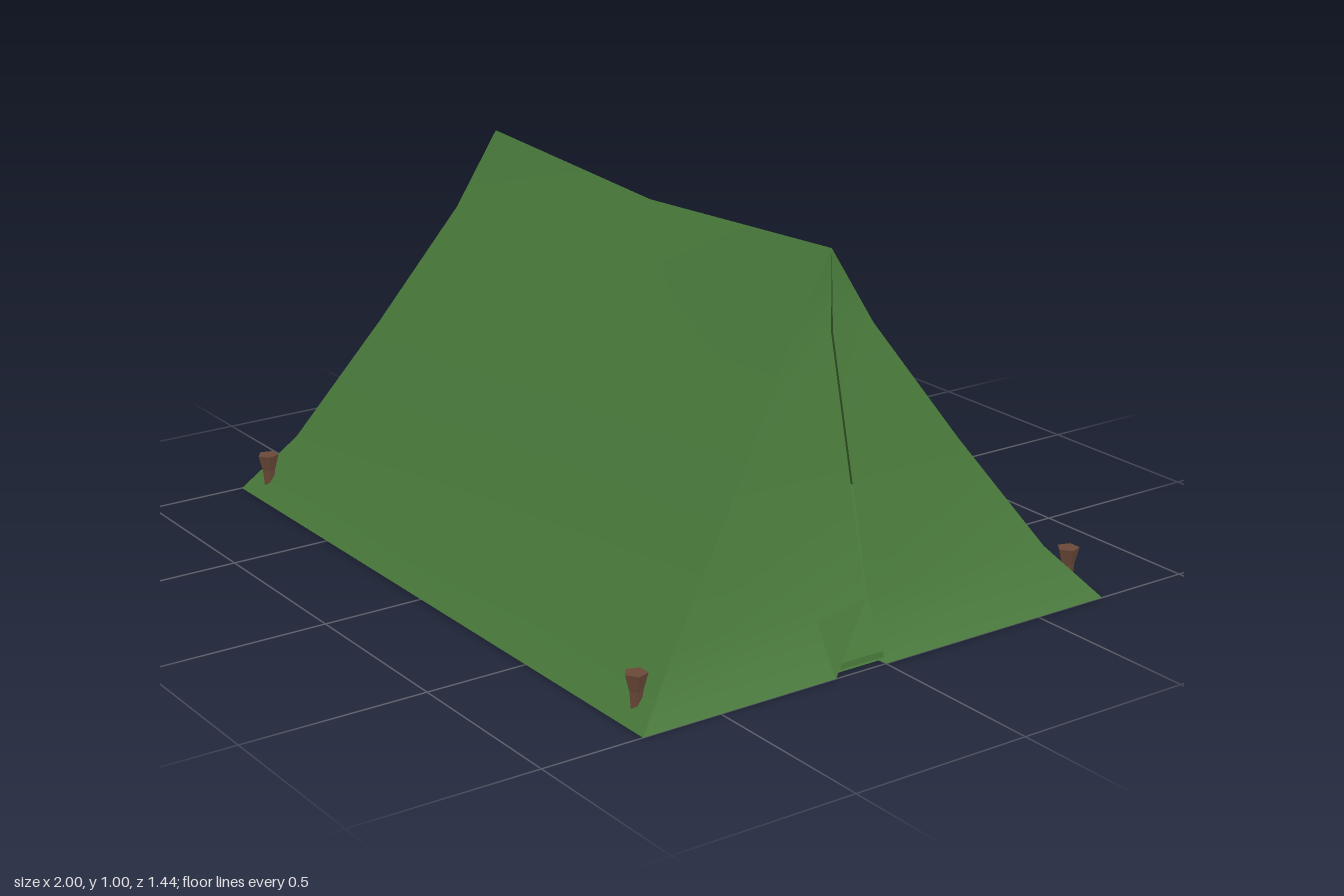
import * as THREE from 'three';

// Tent profile: height, half length (x), half depth (z)
const LEVELS = [
  [0, 1, 0.722], [0.15, 0.922, 0.582], [0.47, 0.845, 0.345],
  [0.79, 0.768, 0.126], [0.995, 0.757, 0],
];
const RIDGE_SAG = 0.955;

// Cloth panel from rows of points: rows run upward, columns left to right seen from outside
function sheet(name, rows, material) {
  const cols = rows[0].length, index = [];
  for (let r = 0; r < rows.length - 1; r++) {
    for (let c = 0; c < cols - 1; c++) {
      const a = r * cols + c, b = a + 1, d = a + cols, e = d + 1;
      index.push(a, b, e, a, e, d);
    }
  }
  const geo = new THREE.BufferGeometry();
  geo.setAttribute('position', new THREE.Float32BufferAttribute(rows.flat(2), 3));
  geo.setIndex(index);
  geo.computeVertexNormals();
  const mesh = new THREE.Mesh(geo, material);
  mesh.name = name;
  return mesh;
}

export function createModel() {
  const canvas = new THREE.MeshStandardMaterial({ name: 'green canvas', color: 0x497a3b, side: THREE.DoubleSide });
  const wood = new THREE.MeshStandardMaterial({ name: 'brown wood', color: 0x6b4a38, flatShading: true });
  const tent = new THREE.Group();
  tent.name = 'tent';

  // Long sloping sides, sagging at the middle of the ridge
  for (const s of [1, -1]) {
    const rows = LEVELS.map(([y, w, d], i) => [
      [-s * w, y, s * d],
      [0, i === LEVELS.length - 1 ? RIDGE_SAG : y, s * d],
      [s * w, y, s * d],
    ]);
    tent.add(sheet(s > 0 ? 'frontSlope' : 'backSlope', rows, canvas));
  }

  // Closed end wall
  tent.add(sheet('closedEnd', LEVELS.map(([y, w, d]) => [[-w, y, -d], [-w, y, 0], [-w, y, d]]), canvas));

  // Door end: two halves with a narrow slit, the lower corner of one is folded away
  tent.add(sheet('doorBackHalf', LEVELS.map(([y, w, d]) => [[w, y, 0], [w, y, -d]]), canvas));
  const inner = [0.155, 0.006, 0.006, 0.006, 0];
  tent.add(sheet('doorFrontHalf', LEVELS.map(([y, w, d], i) => [[w, y, d], [w, y, inner[i]]]), canvas));

  // Folded door corner
  const flap = new THREE.BufferGeometry();
  flap.setAttribute('position', new THREE.Float32BufferAttribute([
    0.924, 0.15, 0.003, 0.952, 0.135, 0.178, 1, 0, 0.158,
  ], 3));
  flap.computeVertexNormals();
  const flapMesh = new THREE.Mesh(flap, canvas);
  flapMesh.name = 'doorFlap';
  tent.add(flapMesh);

  // Ground sheet, notched under the open door corner
  const [, W, D] = LEVELS[0];
  const outline = new THREE.Shape([
    [-W, -D], [W, -D], [W, 0], [0.975, 0], [0.975, 0.155], [W, 0.155], [W, D], [-W, D],
  ].map(([x, z]) => new THREE.Vector2(x, z)));
  const floor = new THREE.Mesh(new THREE.ShapeGeometry(outline).rotateX(Math.PI / 2), canvas);
  floor.name = 'groundSheet';
  tent.add(floor);
  const lining = new THREE.Mesh(new THREE.BoxGeometry(1.94, 0.016, 1.36), canvas);
  lining.position.y = 0.011;
  lining.name = 'floorLining';
  tent.add(lining);

  // Five-sided pegs at the corners
  const pegProfile = [[0, 0.01], [0.012, 0.01], [0.018, 0.075], [0.03, 0.12], [0, 0.12]]
    .map(([r, y]) => new THREE.Vector2(r, y));
  const pegGeo = new THREE.LatheGeometry(pegProfile, 5);
  for (const x of [-0.91, 0.91]) {
    for (const z of [-0.68, 0.68]) {
      const peg = new THREE.Mesh(pegGeo, wood);
      peg.name = 'peg';
      peg.position.set(x, 0, z);
      tent.add(peg);
    }
  }
  return tent;
}
